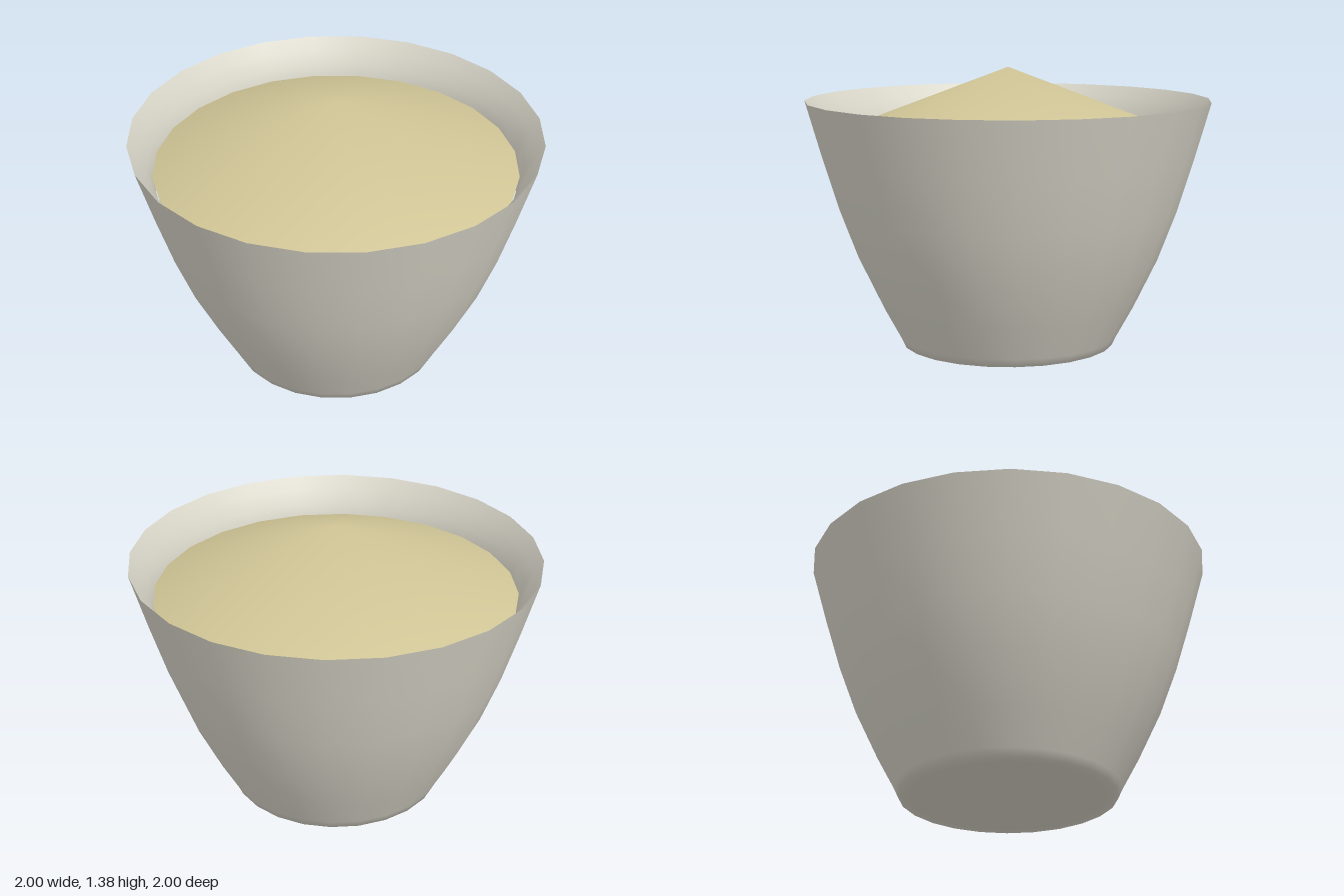
import * as THREE from 'three';

const SIDES = 24;

// Turned part from [radius, height] pairs; rising profiles face outward
function turned(name, profile, material) {
  const points = profile.map(([r, y]) => new THREE.Vector2(r, y));
  const mesh = new THREE.Mesh(new THREE.LatheGeometry(points, SIDES), material);
  mesh.name = name;
  return mesh;
}

export function createModel() {
  const clay = new THREE.MeshStandardMaterial({ color: 0xd8d5c8 });
  clay.name = 'paleClay';
  const grain = new THREE.MeshStandardMaterial({ color: 0xd0c596 });
  grain.name = 'grain';

  const model = new THREE.Group();
  model.name = 'bowlOfGrain';

  // Flat base and flaring outer wall
  model.add(turned('bowlOuter', [
    [0, 0], [0.48, 0], [0.53, 0], [0.548, 0.04], [0.635, 0.2], [0.75, 0.44],
    [0.84, 0.68], [0.92, 0.94], [1, 1.22],
  ], clay));

  // Inner wall, steepening below the thin rim
  model.add(turned('bowlInner', [
    [1, 1.22], [0.955, 1.16], [0.915, 1.09], [0.89, 1.02], [0.88, 0.94],
  ], clay));

  // Heaped filling, with a softly shaded tip
  const heap = turned('grainHeap', [[0.89, 1.04], [0, 1.38]], grain);
  const normals = heap.geometry.attributes.normal;
  for (let i = 0; i <= SIDES; i++) normals.setXYZ(i * 2 + 1, 0, 1, 0);
  model.add(heap);

  return model;
}
